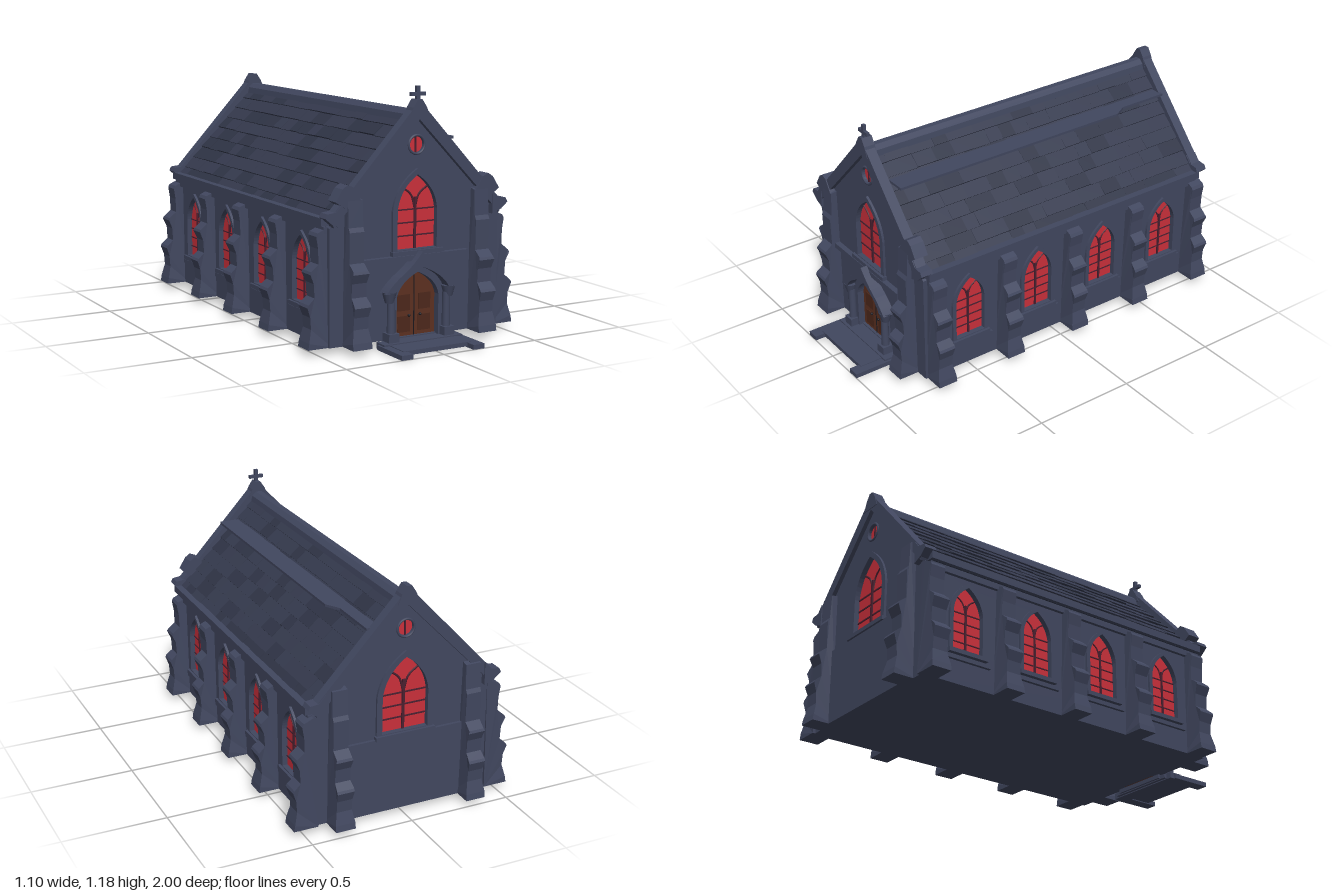
import * as THREE from 'three';
import { mergeGeometries } from 'three/addons/utils/BufferGeometryUtils.js';

const paint = (name, color) => {
  const m = new THREE.MeshStandardMaterial({ color });
  m.name = name;
  return m;
};

export function createModel() {
  const stone = paint('stone', 0x41475f);
  const slate = paint('slate', 0x353a4e);
  const slateDark = paint('dark slate', 0x2f3446);
  const glass = paint('red glass', 0xcb303b);
  const lead = paint('window lead', 0x4a2030);
  const wood = paint('door wood', 0x5c3020);
  const woodDark = paint('dark door wood', 0x4d281b);
  const iron = paint('iron', 0x1c1a20);

  const church = new THREE.Group();
  church.name = 'church';

  // ---- helpers ----
  const add = (parent, name, geo, mat, x = 0, y = 0, z = 0) => {
    const m = new THREE.Mesh(geo, mat);
    m.name = name;
    m.position.set(x, y, z);
    parent.add(m);
    return m;
  };
  const box = (parent, name, mat, w, h, d, x, y, z) =>
    add(parent, name, new THREE.BoxGeometry(w, h, d), mat, x, y, z);
  const poly = (pts) => new THREE.Shape(pts.map(([x, y]) => new THREE.Vector2(x, y)));
  const extrude = (shape, depth) =>
    new THREE.ExtrudeGeometry(shape, { depth, bevelEnabled: false, curveSegments: 10 });
  const group = (parent, name, x, y, z, turn = 0) => {
    const g = new THREE.Group();
    g.name = name;
    g.position.set(x, y, z);
    g.rotation.y = turn;
    parent.add(g);
    return g;
  };
  // Pointed arch outline: half width, bottom, spring line, apex, sideways shift
  const arch = (w, y0, ys, ya, cx = 0, Type = THREE.Shape) => {
    const s = new Type(), k = ys + (ya - ys) * 0.62;
    s.moveTo(cx - w, y0);
    s.lineTo(cx + w, y0);
    s.lineTo(cx + w, ys);
    s.quadraticCurveTo(cx + w * 0.9, k, cx, ya);
    s.quadraticCurveTo(cx - w * 0.9, k, cx - w, ys);
    s.lineTo(cx - w, y0);
    return s;
  };
  // Arched surround: the opening is cut fully inside the outer outline
  const archRing = (w, y0, ys, ya, rim, foot, depth) => {
    const ring = arch(w + rim, y0 - foot, ys, ya + rim * 1.1);
    ring.holes.push(arch(w, y0, ys, ya, 0, THREE.Path));
    return extrude(ring, depth);
  };
  const circle = (r, y, Type = THREE.Shape) => new Type().absarc(0, y, r, 0, Math.PI * 2);

  // Window facing +z; local z = 0 is the outer wall face, the glass sits in the recess
  const archWindow = (parent, name, w, y0, ys, ya, rows, x, z, turn) => {
    const g = group(parent, name, x, 0, z, turn), e = w * 0.24;
    add(g, 'glass', extrude(arch(w, y0, ys, ya), 0.008), glass, 0, 0, -0.022);
    add(g, 'frame', archRing(w, y0, ys, ya, e, 0.015, 0.032), stone, 0, 0, -0.02);
    box(g, 'sill', stone, (w + e) * 2.1, 0.02, 0.05, 0, y0 - 0.014, 0);
    const top = ys + (ya - ys) * 0.35;
    box(g, 'mullion', lead, w * 0.11, top - y0, 0.012, 0, (y0 + top) / 2, -0.013);
    for (let i = 1; i <= rows; i++)
      box(g, 'glazingBar', lead, w * 2, w * 0.06, 0.008, 0, y0 + ((ys - y0) * i) / rows, -0.014);
    for (const s of [-1, 1]) {
      const rib = new THREE.CatmullRomCurve3([[0, ys], [s * w * 0.2, ys + (ya - ys) * 0.42], [s * w * 0.62, ya - (ya - ys) * 0.36]]
        .map(([px, py]) => new THREE.Vector3(px, py, -0.014)));
      add(g, 'tracery', new THREE.TubeGeometry(rib, 8, w * 0.05, 6), lead);
    }
  };
  const roseWindow = (parent, y, z, turn) => {
    const g = group(parent, 'roundWindow', 0, y, z, turn);
    add(g, 'glass', extrude(circle(0.037, 0), 0.008), glass, 0, 0, -0.02);
    add(g, 'frame', new THREE.TorusGeometry(0.042, 0.006, 6, 24), stone);
    box(g, 'mullion', lead, 0.007, 0.074, 0.01, 0, 0, -0.012);
  };

  // ---- walls: solid core with a pierced skin on every side ----
  const gable = (w, eave, apex) => poly([[-w, 0.03], [w, 0.03], [w, eave], [0, apex], [-w, eave]]);
  add(church, 'core', extrude(gable(0.42, 0.58, 1.0), 1.6), stone, 0, 0, -0.87);

  const frontShape = gable(0.45, 0.57, 1.03);
  frontShape.holes.push(arch(0.105, 0.44, 0.62, 0.78, 0, THREE.Path), circle(0.037, 0.915, THREE.Path),
    arch(0.112, 0.035, 0.22, 0.335, 0, THREE.Path));
  add(church, 'frontWall', extrude(frontShape, 0.03), stone, 0, 0, 0.73);
  const backShape = gable(0.45, 0.57, 1.03);
  backShape.holes.push(arch(0.115, 0.42, 0.6, 0.78, 0, THREE.Path), circle(0.037, 0.915, THREE.Path));
  add(church, 'backWall', extrude(backShape, 0.03), stone, 0, 0, -0.9);

  archWindow(church, 'frontWindow', 0.105, 0.44, 0.62, 0.78, 3, 0, 0.76, 0);
  archWindow(church, 'backWindow', 0.115, 0.42, 0.6, 0.78, 3, 0, -0.9, Math.PI);
  roseWindow(church, 0.915, 0.76, 0);
  roseWindow(church, 0.915, -0.9, Math.PI);
  box(church, 'frontLedge', stone, 0.57, 0.026, 0.03, -0.015, 0.402, 0.772);
  box(church, 'backLowerWall', stone, 0.6, 0.37, 0.02, 0, 0.215, -0.905);

  const bays = [0.51, 0.115, -0.28, -0.67];
  for (const s of [-1, 1]) {
    const wall = poly([[-0.87, 0.03], [0.73, 0.03], [0.73, 0.58], [-0.87, 0.58]].map(([z, y]) => [-s * z, y]));
    for (const z of bays) wall.holes.push(arch(0.08, 0.19, 0.38, 0.505, -s * z, THREE.Path));
    const g = group(church, 'sideWall', s * 0.42, 0, 0, (s * Math.PI) / 2);
    add(g, 'sideWallSkin', extrude(wall, 0.03), stone);
    for (const z of bays) {
      archWindow(church, 'sideWindow', 0.08, 0.19, 0.38, 0.505, 4, s * 0.45, z, (s * Math.PI) / 2);
      box(church, 'windowApron', stone, 0.02, 0.02, 0.25, s * 0.455, 0.15, z);
    }
    box(church, 'cornice', stone, 0.03, 0.03, 1.62, s * 0.452, 0.56, -0.07);
    box(church, 'eave', stone, 0.045, 0.035, 1.63, s * 0.46, 0.598, -0.07);
  }

  // ---- stepped buttresses, reaching outward along local +x ----
  const buttress = (x, z, turn, tall) => {
    const top = tall ? [[0.045, 0.55], [0.035, 0.57], [0.03, 0.69], [-0.02, 0.7]]
      : [[0.044, 0.48], [0.053, 0.535], [0.045, 0.55], [0, 0.57], [-0.02, 0.57]];
    const geo = extrude(poly([[-0.02, 0.03], [0.1, 0.03], [0.095, 0.06], [0.08, 0.12], [0.084, 0.175], [0.1, 0.22],
      [0.094, 0.232], [0.062, 0.26], [0.066, 0.325], [0.085, 0.368], [0.08, 0.38], [0.042, 0.41], ...top]), 0.075);
    geo.translate(0, 0, -0.0375);
    const p = geo.attributes.position;
    for (let i = 0; i < p.count; i++) // flared foot and wider weathering courses
      if (p.getY(i) < 0.1) p.setZ(i, p.getZ(i) * 1.3);
      else if (p.getX(i) > 0.0845) p.setZ(i, p.getZ(i) * 1.12);
    geo.computeVertexNormals();
    add(church, 'buttress', geo, stone, x, 0, z).rotation.y = turn;
  };
  for (const z of [0.7, 0.305, -0.085, -0.47, -0.865]) {
    buttress(0.45, z, 0, false);
    buttress(-0.45, z, Math.PI, false);
  }
  for (const x of [-0.335, 0.335]) {
    buttress(x, 0.76, -Math.PI / 2, true);
    buttress(x, -0.9, Math.PI / 2, true);
  }

  // ---- roof: slabs, uneven staggered slates, ridge and a loose plank ----
  add(church, 'roofDeck', extrude(poly([[0, 1.045], [-0.465, 0.58], [-0.42, 0.57], [0, 0.99], [0.42, 0.57], [0.465, 0.58]]), 1.6),
    slateDark, 0, 0, -0.87);
  let seed = 7;
  const rand = () => (seed = (seed * 16807) % 2147483647) / 2147483647;
  for (const s of [-1, 1]) {
    const tones = [[], []];
    for (let row = 0; row < 9; row++) {
      const t = 0.05 + row * 0.071;
      for (let z = -0.87; z < 0.735;) {
        let len = 0.07 + rand() * 0.08;
        if (z + len > 0.69) len = 0.74 - z;
        const tile = new THREE.BoxGeometry(0.082, 0.01, len);
        tile.rotateZ(-s * (Math.PI / 4 - 0.06 - rand() * 0.05));
        tile.translate(s * t * Math.SQRT1_2, 1.053 - t * Math.SQRT1_2 + rand() * 0.004, z + len / 2);
        tones[rand() < 0.7 ? 0 : 1].push(tile);
        z += len;
      }
    }
    add(church, 'roofSlates', mergeGeometries(tones[0]), slate);
    add(church, 'darkRoofSlates', mergeGeometries(tones[1]), slateDark);
  }
  add(church, 'ridge', extrude(poly([[-0.042, 1.015], [0.042, 1.015], [0.036, 1.05], [0.015, 1.07], [-0.015, 1.07], [-0.036, 1.05]]), 1.62),
    stone, 0, 0, -0.88);
  const plank = extrude(poly([[0.12, 0.72], [0.225, 0.72], [0.225, -0.55], [0.185, -0.62], [0.185, -0.88], [0.12, -0.88]]
    .map(([x, z]) => [x, -z])), 0.012);
  add(church, 'loosePlank', plank.rotateX(-Math.PI / 2), stone, 0, 0.925, 0);

  // ---- gable copings, kneeler stones and finials ----
  const coping = poly([[0, 1.115], [-0.46, 0.62], [-0.44, 0.575], [0, 1.03], [0.44, 0.575], [0.46, 0.62]]);
  for (const z of [0.735, -0.92]) {
    add(church, 'gableCoping', extrude(coping, 0.05), stone, 0, 0, z);
    add(church, 'apexStone', extrude(poly([[-0.055, 1.035], [0.055, 1.035], [0.035, 1.085], [0.012, 1.12], [-0.012, 1.12], [-0.035, 1.085]]), 0.055),
      stone, 0, 0, z - 0.003);
    for (const s of [-1, 1]) {
      const flip = (pts) => poly(pts.map(([x, y]) => [s * x, y]));
      add(church, 'eaveKneeler', extrude(flip([[0.4, 0.57], [0.45, 0.59], [0.485, 0.62], [0.475, 0.64], [0.43, 0.645], [0.4, 0.68]]), 0.06),
        stone, 0, 0, z - 0.006);
      if (z > 0)
        add(church, 'kneelerCap', extrude(flip([[0.3, 0.68], [0.39, 0.66], [0.435, 0.69], [0.4, 0.745], [0.375, 0.762], [0.345, 0.75]]), 0.07),
          stone, 0, 0, z - 0.015);
    }
  }
  box(church, 'crossUpright', stone, 0.018, 0.09, 0.016, 0, 1.135, 0.765);
  box(church, 'crossArms', stone, 0.076, 0.016, 0.016, 0, 1.143, 0.765);

  // ---- doorway ----
  const door = group(church, 'doorway', 0, 0, 0.76);
  add(door, 'doorLeaves', extrude(arch(0.112, 0.03, 0.22, 0.335), 0.012), wood, 0, 0, -0.026);
  box(door, 'doorGap', iron, 0.004, 0.28, 0.004, 0, 0.175, -0.013);
  for (const s of [-1, 1]) {
    for (const y of [0.09, 0.19])
      box(door, 'doorPanel', woodDark, 0.065, 0.075, 0.006, s * 0.055, y, -0.013);
    add(door, 'doorKnob', new THREE.SphereGeometry(0.007, 10, 8), iron, s * 0.03, 0.13, -0.006);
    add(door, 'jambColumn', new THREE.CylinderGeometry(0.018, 0.02, 0.2, 12), stone, s * 0.148, 0.13, 0.03);
    box(door, 'columnBase', stone, 0.055, 0.04, 0.06, s * 0.148, 0.05, 0.03);
    add(door, 'columnCapital', new THREE.CylinderGeometry(0.034, 0.02, 0.05, 12), stone, s * 0.158, 0.235, 0.03);
  }
  add(door, 'doorSurround', archRing(0.112, 0.03, 0.22, 0.335, 0.035, 0.02, 0.04), stone, 0, 0, -0.02);
  const hood = new THREE.Shape();
  hood.moveTo(0, 0.435);
  hood.quadraticCurveTo(-0.05, 0.37, -0.12, 0.325);
  hood.quadraticCurveTo(-0.165, 0.29, -0.19, 0.255);
  hood.lineTo(-0.145, 0.255);
  hood.quadraticCurveTo(-0.115, 0.32, 0, 0.365);
  hood.quadraticCurveTo(0.115, 0.32, 0.145, 0.255);
  hood.lineTo(0.19, 0.255);
  hood.quadraticCurveTo(0.165, 0.29, 0.12, 0.325);
  hood.quadraticCurveTo(0.05, 0.37, 0, 0.435);
  add(door, 'doorHood', extrude(hood, 0.06), stone);

  // ---- entrance step with side slabs ----
  box(church, 'step', stone, 0.36, 0.02, 0.2, 0, 0.015, 0.85);
  box(church, 'thresholdStep', stone, 0.42, 0.03, 0.07, 0, 0.015, 0.8);
  for (const s of [-1, 1]) box(church, 'stepSideSlab', stone, 0.06, 0.022, 0.21, s * 0.19, 0.011, 0.895);

  return church;
}
